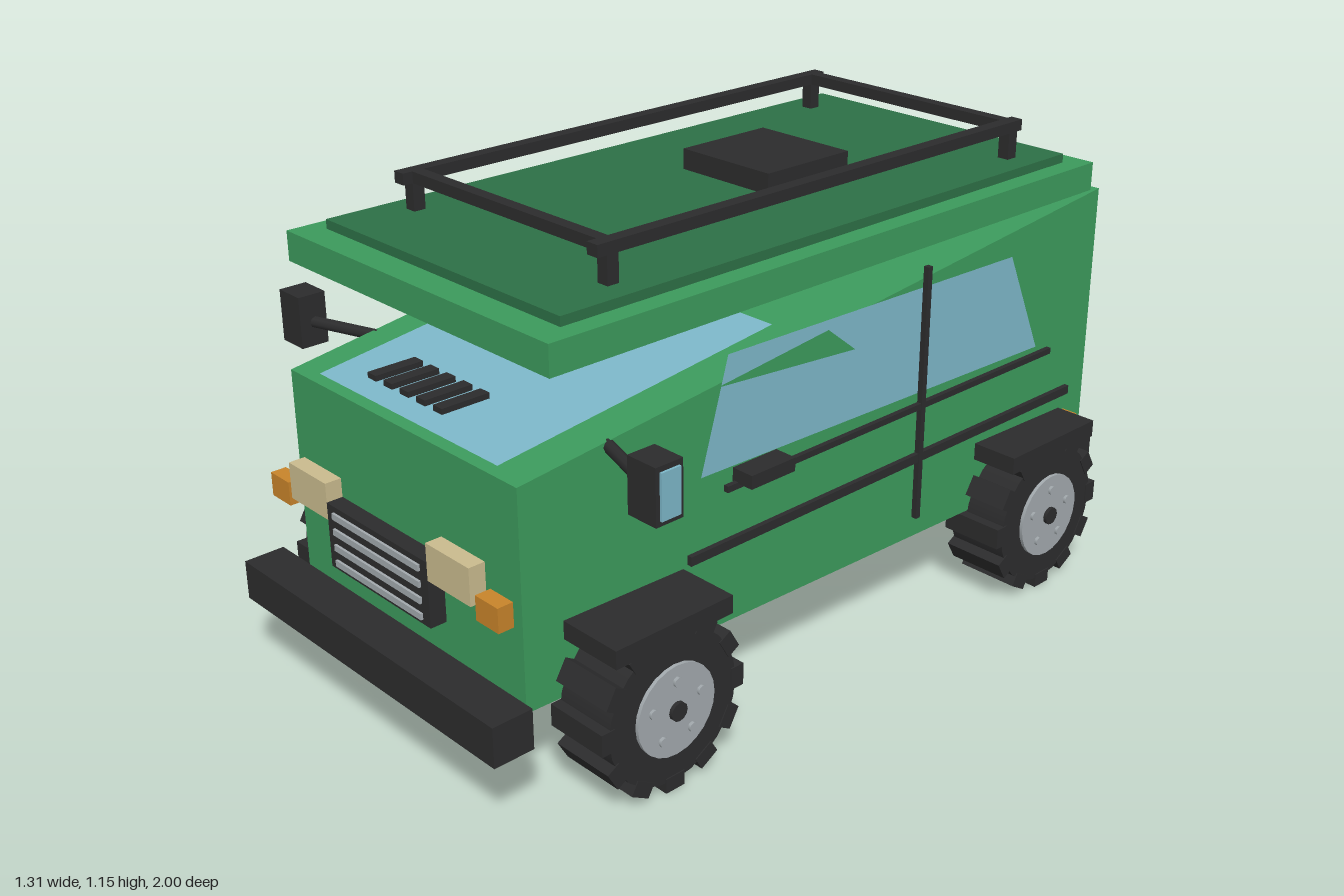
import * as THREE from 'three';

const mat = (name, color, side = THREE.FrontSide) =>
  Object.assign(new THREE.MeshStandardMaterial({ color, side }), { name });

export function createModel() {
  const green = mat('bodyGreen', 0x3c9a5c);
  const roofGreen = mat('roofGreen', 0x2d7046);
  const dark = mat('darkTrim', 0x2c2c2d);
  const glass = mat('glass', 0x7cb6c8, THREE.DoubleSide);
  const metal = mat('wheelMetal', 0xa2a9ad);
  const cream = mat('headlightCream', 0xcabb8e);
  const orange = mat('indicatorOrange', 0xc8842a);
  const patchGreen = mat('pillarGreen', 0x3c9a5c, THREE.DoubleSide);

  const model = new THREE.Group();
  model.name = 'van';

  function add(name, geometry, material, parent = model) {
    const mesh = new THREE.Mesh(geometry, material);
    mesh.name = name;
    parent.add(mesh);
    return mesh;
  }
  // Box given by its extents on each axis
  function box(name, [x0, x1], [y0, y1], [z0, z1], material, parent = model) {
    const m = add(name, new THREE.BoxGeometry(Math.abs(x1 - x0), y1 - y0, z1 - z0), material, parent);
    m.position.set((x0 + x1) / 2, (y0 + y1) / 2, (z0 + z1) / 2);
    return m;
  }
  // Flat convex panel through a few corners
  function panel(name, corners, material) {
    const g = new THREE.BufferGeometry();
    g.setAttribute('position', new THREE.Float32BufferAttribute(corners.flat(), 3));
    const index = [];
    for (let i = 1; i < corners.length - 1; i++) index.push(0, i, i + 1);
    g.setIndex(index);
    g.computeVertexNormals();
    return add(name, g, material);
  }

  // Wedge-shaped body: narrower and lower at the front
  const bodyGeo = new THREE.BoxGeometry(1, 1, 1);
  const p = bodyGeo.attributes.position;
  for (let i = 0; i < p.count; i++) {
    const front = p.getZ(i) > 0;
    p.setXYZ(i, Math.sign(p.getX(i)) * (front ? 0.40 : 0.46),
      p.getY(i) < 0 ? 0.23 : front ? 0.74 : 0.97, front ? 0.87 : -0.9);
  }
  bodyGeo.computeVertexNormals();
  add('body', bodyGeo, green);
  const sideX = z => 0.40 + 0.06 * (0.87 - z) / 1.77;
  const topY = z => 0.74 + 0.23 * (0.87 - z) / 1.77;

  // Roof slabs, hatch and rack
  box('roof', [-0.45, 0.45], [0.968, 1.038], [-0.88, 0.82], green);
  box('roofPanel', [-0.4, 0.4], [1.038, 1.06], [-0.825, 0.75], roofGreen);
  box('roofHatch', [-0.14, 0.14], [1.06, 1.11], [-0.335, -0.07], dark);
  for (const z of [-0.7, 0.565]) {
    box('rackCrossbar', [-0.325, 0.325], [1.125, 1.152], [z - 0.015, z + 0.015], dark);
    for (const x of [-0.325, 0.325])
      box('rackPost', [x - 0.015, x + 0.015], [1.06, 1.13], [z - 0.015, z + 0.015], dark);
  }
  for (const x of [-0.325, 0.325])
    box('rackRail', [x - 0.016, x + 0.016], [1.125, 1.152], [-0.73, 0.605], dark);

  // Windscreen on the slope, with floating vents over it
  panel('windscreen', [[-0.315, topY(0.85) + 0.008, 0.85], [0.315, topY(0.85) + 0.008, 0.85],
    [0.325, topY(0.1) + 0.005, 0.1], [-0.325, topY(0.1) + 0.005, 0.1]], glass);
  for (let i = -2; i <= 2; i++)
    box('vent', [i * 0.058 - 0.015, i * 0.058 + 0.015], [0.797, 0.81], [0.725, 0.845], dark);

  // Bumpers, grille and rear doors
  box('frontBumper', [-0.46, 0.46], [0.19, 0.285], [0.9, 1], dark);
  box('rearBumper', [-0.435, 0.435], [0.19, 0.27], [-1, -0.91], dark);
  box('grille', [-0.182, 0.182], [0.363, 0.517], [0.9, 0.94], dark);
  for (let i = 0; i < 4; i++)
    box('grilleBar', [-0.157, 0.157], [0.374 + i * 0.038, 0.389 + i * 0.038], [0.935, 0.946], metal);
  box('rearDoorSeam', [-0.008, 0.008], [0.25, 0.925], [-0.922, -0.9], dark);

  // Wheel with lugged tyre, rim, hub and bolts; its axle runs along x
  function wheel(s, z) {
    const g = new THREE.Group();
    g.name = 'wheel';
    g.position.set(s * 0.48, 0.2, z);
    model.add(g);
    const disc = (name, r, width, material, n) => {
      const m = add(name, new THREE.CylinderGeometry(r, r, width, n).rotateZ(Math.PI / 2), material, g);
      return m;
    };
    disc('tyre', 0.176, 0.155, dark, 24);
    disc('rim', 0.107, 0.172, metal, 24);
    disc('hub', 0.022, 0.19, dark, 12);
    for (let i = 0; i < 12; i++) {
      const a = i * Math.PI / 6;
      const lug = add('treadLug', new THREE.BoxGeometry(0.16, 0.035, 0.052), dark, g);
      lug.position.set(0, Math.cos(a) * 0.18, Math.sin(a) * 0.18);
      lug.rotation.x = a;
    }
    for (let i = 0; i < 5; i++) {
      const a = i * Math.PI * 0.4;
      disc('wheelBolt', 0.011, 0.186, metal, 8)
        .position.set(0, Math.cos(a) * 0.07, Math.sin(a) * 0.07);
    }
  }

  // Everything mirrored on both sides
  for (const s of [-1, 1]) {
    const X = (a, b) => [s * a, s * b];
    for (const z of [0.61, -0.65]) {
      wheel(s, z);
      box('fender', X(0.4, 0.565), [0.365, 0.408], [z - 0.16, z + 0.16], dark);
    }
    box('headlight', X(0.182, 0.326), [0.475, 0.562], [0.9, 0.94], cream);
    box('frontIndicator', X(0.34, 0.412), [0.45, 0.507], [0.9, 0.938], orange);
    box('rearIndicator', X(0.45, 0.5), [0.34, 0.4], [-0.83, -0.785], orange);
    box('rearDoorHandle', X(0.14, 0.26), [0.64, 0.67], [-0.94, -0.9], dark);

    // Side window, with the wedge of bodywork crossing its upper front
    const onSide = d => ([z, y]) => [s * (sideX(z) + d), y, z];
    panel('sideWindow', [[0.405, 0.61], [-0.69, 0.61], [-0.575, 0.87], [0.33, 0.87]].map(onSide(0.006)), glass);
    panel('windowPillar', [[0.365, 0.805], [-0.045, 0.78], [0.04, 0.848]].map(onSide(0.009)), patchGreen);

    // Trim strips and door handle
    box('upperTrim', X(0.46, 0.472), [0.583, 0.598], [-0.735, 0.375], dark);
    box('lowerTrim', X(0.46, 0.472), [0.448, 0.47], [-0.825, 0.48], dark);
    box('sideDoorSeam', X(0.46, 0.474), [0.3, 0.93], [-0.258, -0.244], dark);
    box('sideDoorHandle', X(0.455, 0.512), [0.595, 0.627], [0.215, 0.345], dark);

    // Door mirror
    const from = new THREE.Vector3(s * 0.4, 0.757, 0.64), to = new THREE.Vector3(s * 0.58, 0.757, 0.7);
    add('mirrorArm', new THREE.TubeGeometry(new THREE.LineCurve3(from, to), 1, 0.014, 8), dark);
    box('mirrorHousing', X(0.57, 0.65), [0.7, 0.826], [0.667, 0.737], dark);
    box('mirrorGlass', X(0.649, 0.656), [0.712, 0.814], [0.677, 0.727], glass);
  }
  return model;
}
